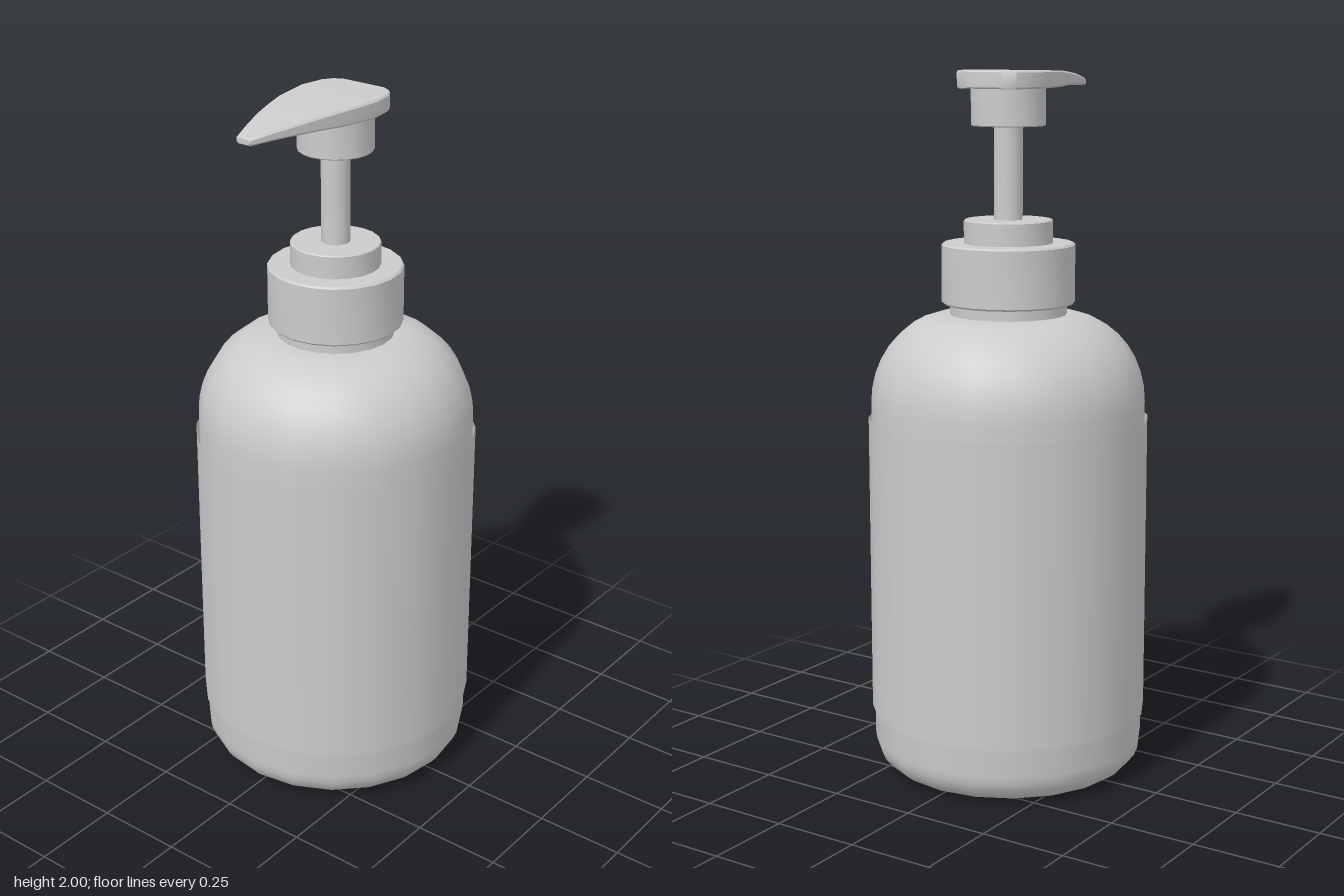
import * as THREE from 'three';
import { toCreasedNormals } from 'three/addons/utils/BufferGeometryUtils.js';

const SIDES = 20;
const material = new THREE.MeshStandardMaterial({ color: 0xcccccc });

// Turned part from a bottom-to-top profile of [radius, y]
function turned(name, profile) {
  const points = profile.map(([r, y]) => new THREE.Vector2(r, y));
  const mesh = new THREE.Mesh(toCreasedNormals(new THREE.LatheGeometry(points, SIDES), 0.6), material);
  mesh.name = name;
  return mesh;
}

// Closed disc-like part with a small bevel on both rims
function collar(name, r, y0, y1, b = 0.005) {
  return turned(name, [[0, y0], [r - b, y0], [r, y0 + b], [r, y1 - b], [r - b, y1], [0, y1]]);
}

// Points along a quarter ellipse centred on (cx, cy)
function arc(cx, cy, rx, ry, from, to, steps) {
  return Array.from({ length: steps + 1 }, (_, i) => {
    const a = from + (to - from) * i / steps;
    return [cx + rx * Math.cos(a), cy + ry * Math.sin(a)];
  });
}

// Spout lever: bevelled cross-sections joined along x
function spoutGeometry() {
  // x, half width, bottom y, top y
  const stations = [
    [-0.375, 0.021, 1.954, 1.968], [-0.37, 0.025, 1.951, 1.972], [-0.31, 0.048, 1.955, 1.98],
    [-0.24, 0.073, 1.957, 1.988], [-0.17, 0.093, 1.956, 1.994], [-0.104, 0.11, 1.953, 1.998],
    [0.01, 0.126, 1.951, 2], [0.08, 0.115, 1.951, 2], [0.108, 0.098, 1.951, 2],
    [0.121, 0.072, 1.951, 2], [0.125, 0.055, 1.955, 1.996],
  ];
  const rings = stations.map(([x, w, lo, hi]) => {
    const b = 0.005;
    return [[w - b, lo], [w, lo + b], [w, hi - b], [w - b, hi], [b - w, hi], [-w, hi - b], [-w, lo + b], [b - w, lo]]
      .map(([z, y]) => [x, y, z]);
  });
  const out = [];
  const tri = (...corners) => corners.forEach((p) => out.push(...p));
  for (let i = 0; i < rings.length - 1; i++) {
    const a = rings[i], c = rings[i + 1];
    for (let j = 0; j < 8; j++) {
      const k = (j + 1) % 8;
      tri(a[j], c[j], c[k]);
      tri(a[j], c[k], a[k]);
    }
  }
  // End caps
  const first = rings[0], last = rings[rings.length - 1];
  for (let j = 1; j < 7; j++) {
    tri(first[0], first[j], first[j + 1]);
    tri(last[0], last[j + 1], last[j]);
  }
  const geometry = new THREE.BufferGeometry();
  geometry.setAttribute('position', new THREE.Float32BufferAttribute(out, 3));
  return toCreasedNormals(geometry, 0.5);
}

export function createModel() {
  const group = new THREE.Group();
  group.name = 'pumpBottle';

  // Bottle with rounded base, domed shoulder and short neck
  group.add(turned('bottle', [
    [0, 0],
    ...arc(0.3, 0.09, 0.09, 0.09, -Math.PI / 2, 0, 6),
    ...arc(0.17, 1.07, 0.22, 0.255, 0, Math.PI / 2, 9),
    [0.165, 1.325], [0.165, 1.37], [0, 1.37],
  ]));

  // Wrap-around label, slightly proud of the bottle
  const label = new THREE.Mesh(
    new THREE.CylinderGeometry(0.398, 0.398, 0.86, SIDES, 1, true),
    new THREE.MeshStandardMaterial({ color: 0xcccccc, side: THREE.DoubleSide }),
  );
  label.position.y = 0.6;
  label.name = 'label';
  group.add(label);

  // Pump
  group.add(
    collar('screwCap', 0.188, 1.355, 1.525),
    collar('capCollar', 0.125, 1.52, 1.59, 0.003),
    collar('pumpStem', 0.04, 1.58, 1.86, 0.002),
    collar('headCollar', 0.104, 1.848, 1.96, 0.003),
  );
  const spout = new THREE.Mesh(spoutGeometry(), material);
  spout.name = 'spoutLever';
  group.add(spout);

  return group;
}
